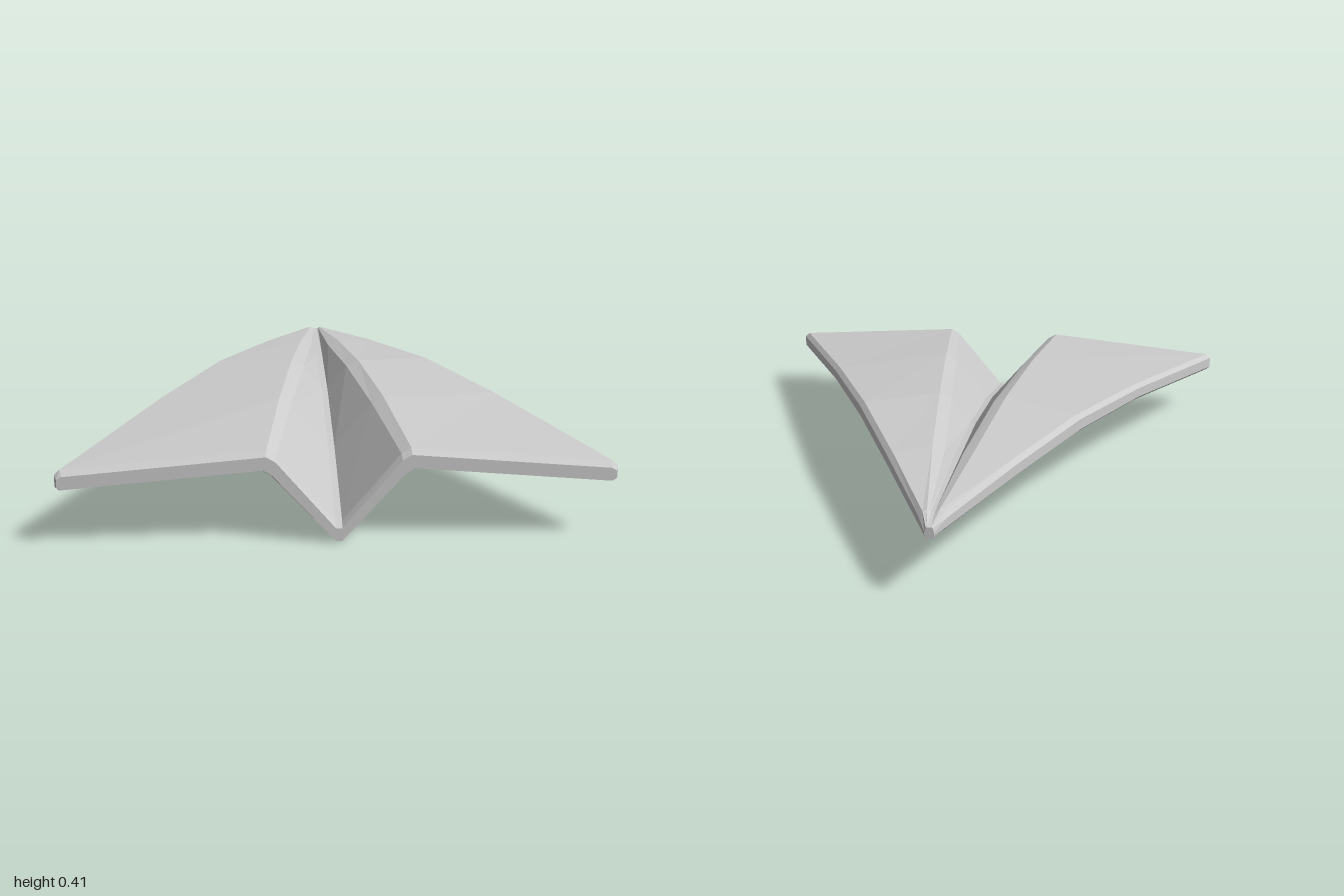
import * as THREE from 'three';

// Stations from tail to nose. z: at the keel and folds, tz: at the wing edge.
// kT/kB: keel top and bottom heights; fTi, fTo, fBo, fBi: fold bevels [x, y];
// tip: wing edge [x, top y, bottom y].
const stations = [
  { z: 0.975, tz: 0.975, kT: 0.075, kB: 0.0, fTi: [0.22, 0.325], fTo: [0.255, 0.345], fBo: [0.27, 0.27], fBi: [0.24, 0.25], tip: [0.995, 0.285, 0.21] },
  { z: 0.5, tz: 0.35, kT: 0.195, kB: 0.12, fTi: [0.155, 0.37], fTo: [0.2, 0.395], fBo: [0.215, 0.325], fBi: [0.175, 0.295], tip: [0.68, 0.36, 0.29] },
  { z: 0.0, tz: -0.1, kT: 0.28, kB: 0.215, fTi: [0.09, 0.387], fTo: [0.14, 0.41], fBo: [0.155, 0.337], fBi: [0.11, 0.307], tip: [0.46, 0.39, 0.315] },
  { z: -0.47, tz: -0.53, kT: 0.315, kB: 0.248, fTi: [0.038, 0.362], fTo: [0.085, 0.382], fBo: [0.09, 0.308], fBi: [0.055, 0.288], tip: [0.25, 0.37, 0.298] },
  { z: -0.92, tz: -0.93, kT: 0.333, kB: 0.262, fTi: [0.014, 0.336], fTo: [0.022, 0.34], fBo: [0.024, 0.272], fBi: [0.018, 0.268], tip: [0.053, 0.335, 0.27] },
  { z: -1, tz: -1, kT: 0.31, kB: 0.264, fTi: [0.007, 0.31], fTo: [0.009, 0.31], fBo: [0.009, 0.265], fBi: [0.007, 0.265], tip: [0.018, 0.308, 0.266] },
];

// Closed outline of one station: right half from keel top round to keel bottom, then mirrored
function outline({ z, tz, kT, kB, fTi, fTo, fBo, fBi, tip }) {
  const [x, top, bottom] = tip;
  const inset = Math.min(0.02, x * 0.3);
  const half = [
    [Math.min(0.012, fTi[0] * 0.5), kT, z],
    [...fTi, z],
    [...fTo, z],
    [x - inset, top, tz],
    [x, top - 0.018, tz],
    [x, bottom + 0.012, tz],
    [x - inset * 0.7, bottom, tz],
    [...fBo, z],
    [...fBi, z],
    [Math.min(0.01, fBi[0] * 0.5), kB, z],
  ].map((p) => new THREE.Vector3(...p));
  const mirrored = half.map((p) => new THREE.Vector3(-p.x, p.y, p.z)).reverse();
  return [...half, ...mirrored];
}

const N = 20;
const partner = (i) => (29 - i) % N; // point on the opposite skin

// Rear rim: the tail outline drawn in towards its mid-thickness
function rearRim(ring) {
  return ring.map((p, i) => {
    const isTop = i < 5 || i > 14;
    const q = p.clone().lerp(ring[partner(i)], isTop ? 0.25 : 0.1);
    q.x *= 0.99;
    q.z = 1;
    return q;
  });
}

function planeGeometry() {
  const rings = stations.map(outline);
  rings.unshift(rearRim(rings[0]));
  const positions = [];
  const quad = (a, b, c, d) => {
    for (const p of [a, b, c, a, c, d]) positions.push(p.x, p.y, p.z);
  };
  // Skin between neighbouring outlines
  for (let s = 0; s < rings.length - 1; s++) {
    for (let i = 0; i < N; i++) {
      const j = (i + 1) % N;
      quad(rings[s][i], rings[s][j], rings[s + 1][j], rings[s + 1][i]);
    }
  }
  // Tail and nose end faces, strip by strip from left to right
  const tail = rings[0];
  const nose = rings[rings.length - 1];
  for (let k = 0; k < 9; k++) {
    const i = (15 + k) % N;
    const j = (16 + k) % N;
    quad(tail[i], tail[partner(i)], tail[partner(j)], tail[j]);
    quad(nose[i], nose[j], nose[partner(j)], nose[partner(i)]);
  }
  const geometry = new THREE.BufferGeometry();
  geometry.setAttribute('position', new THREE.Float32BufferAttribute(positions, 3));
  geometry.computeVertexNormals();
  return geometry;
}

export function createModel() {
  const group = new THREE.Group();
  group.name = 'paperPlane';
  const material = new THREE.MeshStandardMaterial({ color: 0xcccccc, flatShading: true });
  const body = new THREE.Mesh(planeGeometry(), material);
  body.name = 'foldedWings';
  group.add(body);
  return group;
}
